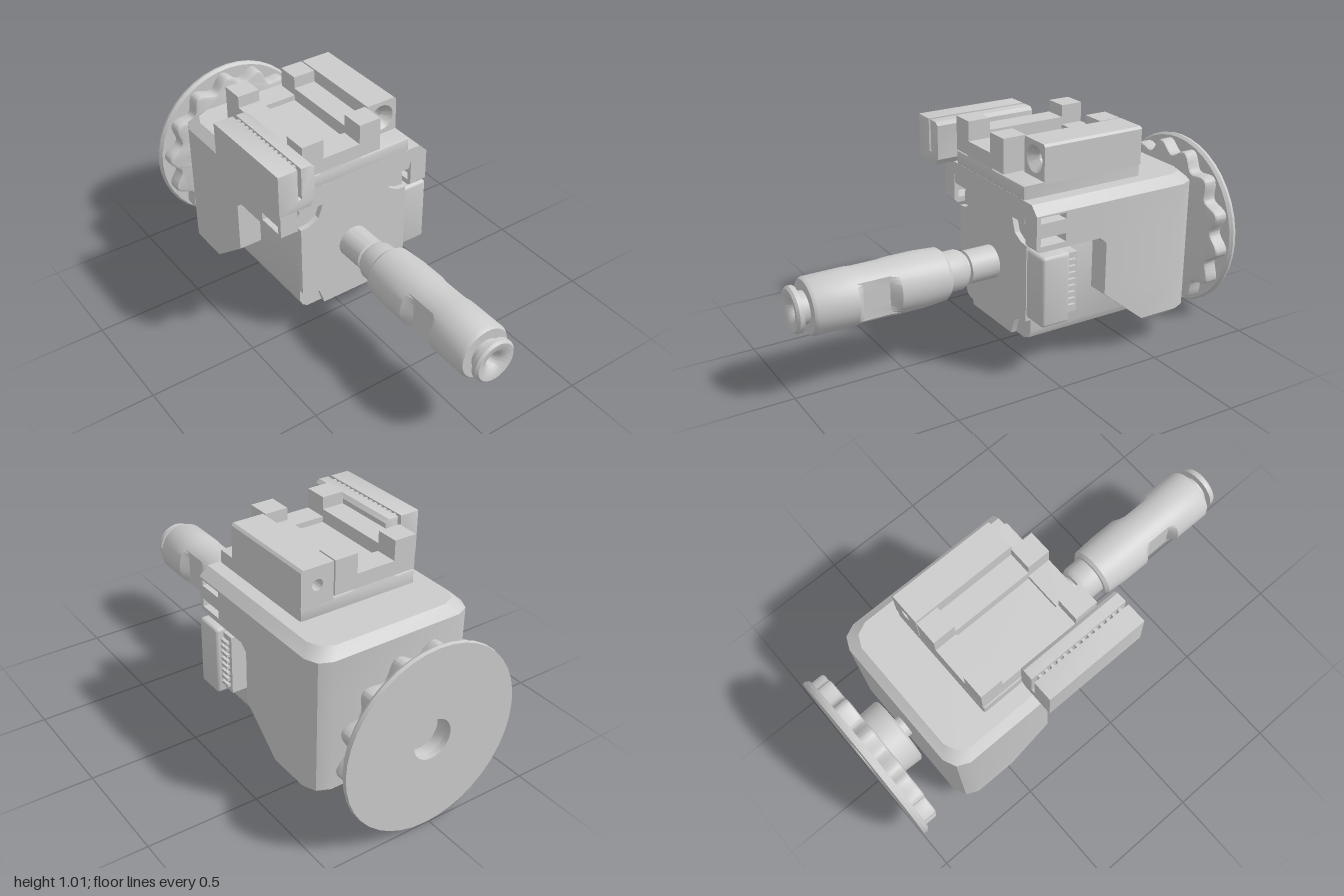
import * as THREE from 'three';
import { toCreasedNormals } from 'three/addons/utils/BufferGeometryUtils.js';
import { RoundedBoxGeometry } from 'three/addons/geometries/RoundedBoxGeometry.js';

const mat = new THREE.MeshStandardMaterial({ color: 0xcccccc, side: THREE.DoubleSide });
const AX = 0.015, AY = 0.42; // shared axis of shaft, motor and knob

export function createModel() {
  const model = new THREE.Group();

  const add = (name, geo) => {
    const m = new THREE.Mesh(toCreasedNormals(geo, 0.6), mat);
    m.name = name;
    model.add(m);
    return m;
  };
  // box given by its limits
  const box = (name, x0, x1, y0, y1, z0, z1, r = 0) => {
    const s = [x1 - x0, y1 - y0, z1 - z0];
    const g = r ? new RoundedBoxGeometry(...s, 2, r) : new THREE.BoxGeometry(...s);
    return add(name, g.translate((x0 + x1) / 2, (y0 + y1) / 2, (z0 + z1) / 2));
  };
  const poly = (pts) => new THREE.Shape(pts.map(([x, y]) => new THREE.Vector2(x, y)));
  const hole = (x, y, r) => new THREE.Path().absarc(x, y, r, 0, Math.PI * 2, true);
  const rectHole = (x0, x1, y0, y1) =>
    new THREE.Path([[x0, y0], [x0, y1], [x1, y1], [x1, y0]].map((p) => new THREE.Vector2(...p)));
  // front outline pulled along z, with an optional bevel kept inside the limits
  const extrudeZ = (name, shape, z0, z1, bevel = 0) => add(name, new THREE.ExtrudeGeometry(shape, {
    depth: z1 - z0 - 2 * bevel, curveSegments: 16, bevelEnabled: bevel > 0,
    bevelThickness: bevel, bevelSize: bevel, bevelOffset: -bevel, bevelSegments: 2,
  }).translate(0, 0, z0 + bevel));
  // [radius, z] profile turned about the shared axis
  const turned = (name, pts) => add(name, new THREE.LatheGeometry(
    pts.map((p) => new THREE.Vector2(...p)), 40).rotateX(Math.PI / 2).translate(AX, AY, 0));
  // skin through equal-length loops, closed at both ends
  const loft = (name, loops) => {
    const n = loops[0].length, pos = loops.flat(2), idx = [], last = (loops.length - 1) * n;
    for (let k = 0; k < loops.length - 1; k++)
      for (let i = 0; i < n; i++) {
        const a = k * n + i, b = k * n + (i + 1) % n;
        idx.push(a, b, b + n, a, b + n, a + n);
      }
    for (let i = 1; i < n - 1; i++) idx.push(0, i + 1, i, last, last + i, last + i + 1);
    const g = new THREE.BufferGeometry();
    g.setAttribute('position', new THREE.Float32BufferAttribute(pos, 3));
    g.setIndex(idx);
    return add(name, g);
  };

  // rear housing: chamfered plan whose front edge follows the side cut
  const plan = (y, front, inset) => {
    const l = -0.37 + inset, r = 0.4 - inset, b = -0.77 + inset;
    return [[r, y, front], [r, y, b + 0.08], [r - 0.025, y, b + 0.025], [r - 0.08, y, b],
      [l + 0.08, y, b], [l + 0.025, y, b + 0.025], [l, y, b + 0.08], [l, y, front]];
  };
  loft('housing', [[0.14, -0.52, 0.02], [0.16, -0.495, 0], [0.33, -0.285, 0], [0.57, -0.285, 0],
    [0.6, -0.25, 0], [0.76, -0.25, 0], [0.8, -0.25, 0.04]].map((p) => plan(...p)));

  // brow over the motor and slotted cheeks at its sides
  extrudeZ('brow', poly([[-0.275, 0.7], [0.305, 0.7], [0.32, 0.76], [0.4, 0.76], [0.36, 0.8],
    [-0.33, 0.8], [-0.37, 0.76], [-0.29, 0.76]]), -0.26, 0.07);
  for (const [name, x] of [['rightCheek', -0.37], ['leftCheek', 0.315]]) {
    const s = poly([[-0.07, 0.615], [-0.055, 0.6], [0.26, 0.6], [0.26, 0.76], [-0.07, 0.76]]);
    s.holes.push(rectHole(-0.05, 0.075, 0.725, 0.752), rectHole(-0.05, 0.075, 0.625, 0.662));
    const g = new THREE.ExtrudeGeometry(s, { depth: 0.085, bevelEnabled: false });
    add(name, g.rotateY(Math.PI / 2).scale(1, 1, 1).translate(x, 0, 0));
  }

  // motor body with a faceplate scooped at each corner
  extrudeZ('motorBody', poly([[-0.22, 0.14], [0.25, 0.14], [0.285, 0.155], [0.3, 0.19], [0.3, 0.65],
    [0.285, 0.685], [0.25, 0.7], [-0.21, 0.7], [-0.245, 0.685], [-0.26, 0.65], [-0.26, 0.19],
    [-0.245, 0.155]]), -0.6, 0.03);
  const plate = new THREE.Shape();
  [[1, 1], [-1, 1], [-1, -1], [1, -1]].forEach(([sx, sy], q) => {
    const c = [[0, -0.105], [-0.045, -0.1], [-0.09, -0.075], [-0.105, -0.035], [-0.115, 0]];
    if (sx * sy < 0) c.reverse();
    c.forEach(([u, v], i) => {
      const x = 0.02 + sx * (0.28 + u), y = 0.42 + sy * (0.28 + v);
      q + i === 0 ? plate.moveTo(x, y) : plate.lineTo(x, y);
    });
  });
  extrudeZ('motorFaceplate', plate, 0.02, 0.055);

  // plug socket on the motor's side, with contacts facing back
  box('socketHousing', 0.28, 0.422, 0.26, 0.58, -0.085, 0.05, 0.015);
  box('socketShroud', 0.28, 0.385, 0.285, 0.56, -0.145, -0.08);
  for (let i = 0; i < 8; i++) {
    const y = 0.31 + i * 0.03;
    box('socketContact', 0.38, 0.4, y, y + 0.014, -0.13, -0.08);
  }

  // output shaft and coupling with side flats
  turned('shaft', [[0, 0], [0.075, 0], [0.075, 0.19], [0.065, 0.195], [0.065, 0.205], [0.08, 0.21],
    [0.09, 0.23], [0.09, 0.32], [0, 0.32]]);
  loft('coupling', [[0.305, 0.105, 1], [0.32, 0.118, 1], [0.42, 0.125, 1], [0.55, 0.125, 1],
    [0.59, 0.122, 0.085], [0.71, 0.122, 0.085], [0.74, 0.125, 1], [0.92, 0.125, 1],
    [0.935, 0.115, 1]].map(([z, r, w]) => Array.from({ length: 48 }, (_, i) => {
    const a = i / 48 * Math.PI * 2;
    return [AX + THREE.MathUtils.clamp(r * Math.cos(a), -w, w), AY + r * Math.sin(a), z];
  })));
  turned('endCollar', [[0, 0.92], [0.07, 0.92], [0.07, 0.965], [0.1, 0.97], [0.1, 0.99], [0.09, 1],
    [0.06, 0.997], [0.035, 0.98], [0.025, 0.96], [0.025, 0.937], [0, 0.937]]);

  // rear knob: stem, hub, scalloped grip and backing disc
  turned('knobStem', [[0.05, -0.83], [0.05, -0.75]]);
  turned('knobHub', [[0, -0.925], [0.155, -0.925], [0.16, -0.81], [0.15, -0.8], [0, -0.8]]);
  const grip = new THREE.Shape();
  for (let i = 0; i < 140; i++) {
    const a = i / 140 * Math.PI * 2, r = 0.367 + 0.027 * Math.cos(14 * a + 1.5);
    const p = [AX + r * Math.cos(a), AY + r * Math.sin(a)];
    i ? grip.lineTo(...p) : grip.moveTo(...p);
  }
  grip.holes.push(hole(AX, AY, 0.09));
  extrudeZ('knobGrip', grip, -0.985, -0.905, 0.012);
  turned('knobDisc', [[0.09, -0.97], [0.09, -1], [0.412, -1], [0.415, -0.985], [0.405, -0.97], [0.09, -0.97]]);

  // mount base on top of the housing
  extrudeZ('mountBase', poly([[-0.26, 0.79], [0.3, 0.79], [0.3, 0.86], [0.05, 0.86], [0.03, 0.875],
    [-0.15, 0.875], [-0.17, 0.86], [-0.26, 0.86]]), -0.525, 0.07, 0.012);

  // cradle: tall forked ends joined by a lower channel
  const cradle = (top, floor) => poly([[-0.255, 0.865], [0.14, 0.865], [0.14, top], [0.033, top],
    [0.033, floor], [-0.15, floor], [-0.15, top], [-0.255, top]]);
  extrudeZ('cradleFrontFork', cradle(1.02, 0.93), -0.04, 0.07);
  extrudeZ('cradleRearFork', cradle(1.02, 0.93), -0.525, -0.42);
  extrudeZ('cradleChannel', cradle(0.965, 0.905), -0.43, -0.03);

  // side block bored along its length, countersunk in front
  const bored = (r) => {
    const s = poly([[0.147, 0.85], [0.3, 0.85], [0.3, 1.01], [0.29, 1.02], [0.147, 1.02]]);
    s.holes.push(hole(0.223, 0.94, r));
    return s;
  };
  extrudeZ('boredBlock', bored(0.025), -0.525, -0.07);
  extrudeZ('boredBlockFront', bored(0.06), -0.07, -0.03);
  const sink = new THREE.CylinderGeometry(0.06, 0.025, 0.04, 24, 1, true);
  add('countersink', sink.rotateX(Math.PI / 2).translate(0.223, 0.94, -0.05));

  // side clamp with a toothed slot
  extrudeZ('clamp', poly([[-0.432, 0.802], [-0.28, 0.802], [-0.258, 0.83], [-0.258, 0.985],
    [-0.275, 1], [-0.323, 1], [-0.323, 0.853], [-0.339, 0.853], [-0.339, 1], [-0.432, 1]]),
  -0.33, 0.165, 0.003);
  for (let i = 0; i < 14; i++) {
    const z = -0.3 + i * 0.032;
    box('clampTooth', -0.35, -0.325, 0.86, 0.995, z, z + 0.015);
  }

  return model;
}
